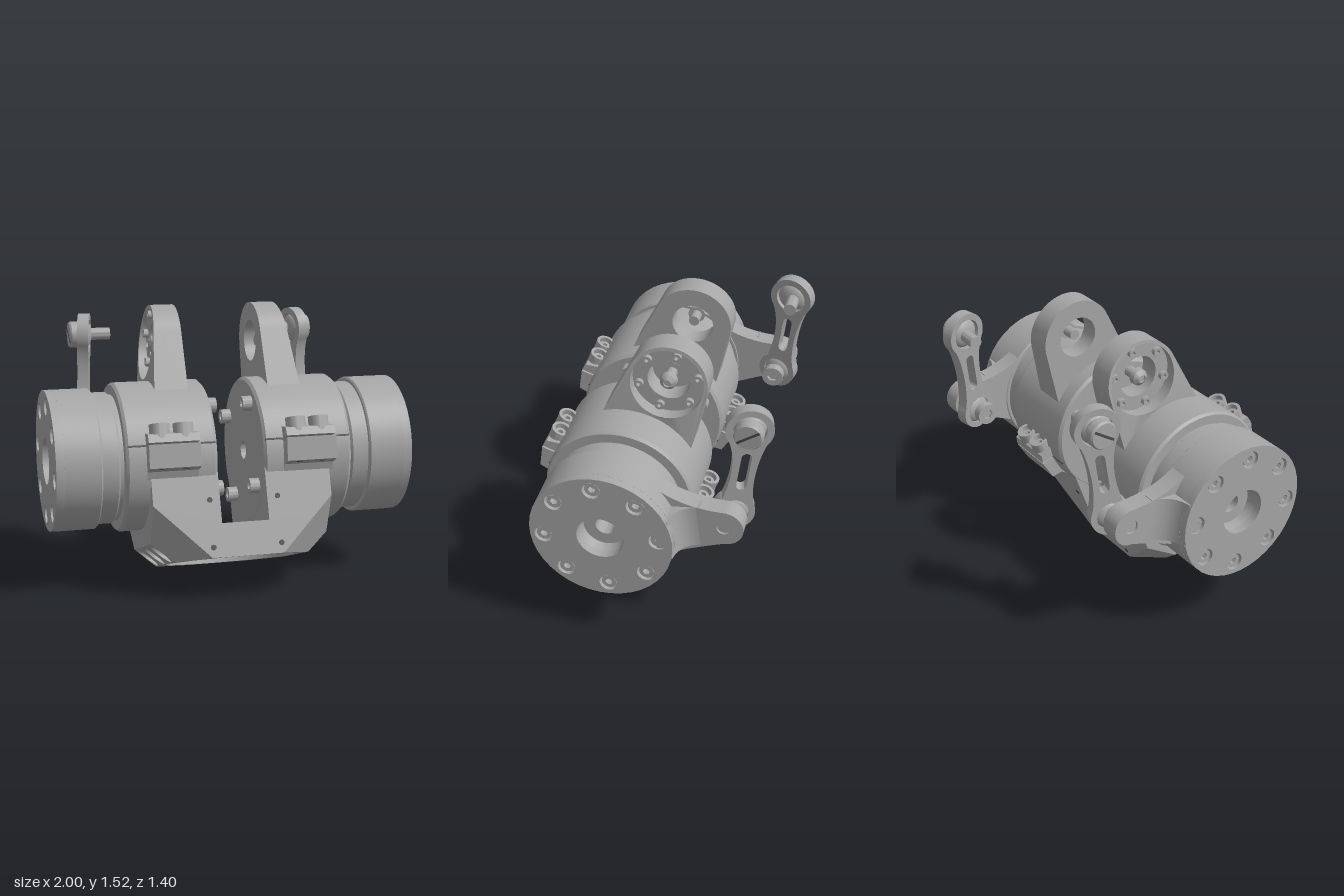
import * as THREE from 'three';
import { toCreasedNormals } from 'three/addons/utils/BufferGeometryUtils.js';
import { ConvexGeometry } from 'three/addons/geometries/ConvexGeometry.js';

const metal = new THREE.MeshStandardMaterial({ color: 0xa6a6a6 });
metal.name = 'machined grey';
const dark = new THREE.MeshStandardMaterial({ color: 0x4a4a4a });
dark.name = 'dark recess';

const TILT = -0.34, AXIS = new THREE.Vector3(0, 0.713, 0.144);

function add(parent, name, geo, mat = metal, x = 0, y = 0, z = 0) {
  const m = new THREE.Mesh(toCreasedNormals(geo, 0.55), mat);
  m.name = name;
  m.position.set(x, y, z);
  parent.add(m);
  return m;
}

// Profile of [radius, x] points turned around the x axis
const turned = (pts, seg = 64) =>
  new THREE.LatheGeometry(pts.map(p => new THREE.Vector2(p[0], p[1])), seg).rotateZ(-Math.PI / 2);
const rod = (r, x0, x1, seg = 28) => turned([[0, x0], [r, x0], [r, x1], [0, x1]], seg);
// Side-view shape (horizontal = -z, vertical = y) extruded from x0 to x1
const slab = (shape, x0, x1) => new THREE.ExtrudeGeometry(shape, { depth: x1 - x0, bevelEnabled: false, curveSegments: 20 })
  .rotateY(Math.PI / 2).translate(x0, 0, 0);
const circle = (C, x, y, r) => new C().absarc(x, y, r, 0, Math.PI * 2, false);
const hole = (shape, x, y, r) => { shape.holes.push(circle(THREE.Path, x, y, r)); return shape; };
const poly = pts => new THREE.Shape(pts.map(p => new THREE.Vector2(p[0], p[1])));

// Round head with a hexagonal socket, pointing along +x
function screwHead(r, x0, x1) {
  const s = circle(THREE.Shape, 0, 0, r);
  const hex = [];
  for (let i = 0; i < 6; i++) hex.push(new THREE.Vector2(r * 0.5 * Math.cos(i * Math.PI / 3), r * 0.5 * Math.sin(i * Math.PI / 3)));
  s.holes.push(new THREE.Path([...hex, hex[0].clone()]));
  return slab(s, x0, x1);
}

function moveX(geo, rule) {
  const p = geo.attributes.position;
  for (let i = 0; i < p.count; i++) p.setX(i, rule(p.getX(i), p.getY(i)));
  return geo;
}

// Mirrored copy of a group's meshes, with corner order reversed
function mirrored(group, name) {
  const out = new THREE.Group();
  out.name = name;
  group.updateMatrixWorld(true);
  group.traverse(o => {
    if (!o.isMesh) return;
    const g = o.geometry.clone().applyMatrix4(o.matrixWorld).applyMatrix4(new THREE.Matrix4().makeScale(-1, 1, 1));
    for (const a of Object.values(g.attributes)) {
      const n = a.itemSize, d = a.array;
      for (let t = 0; t < d.length; t += 3 * n)
        for (let k = 0; k < n; k++) [d[t + k], d[t + 2 * n + k]] = [d[t + 2 * n + k], d[t + k]];
    }
    const m = new THREE.Mesh(g, o.material);
    m.name = o.name;
    out.add(m);
  });
  return out;
}

const octagon = (ax, bx, bz, d = 0.377) =>
  [[ax, d], [bx, bz], [bx, -bz], [ax, -d], [-ax, -d], [-bx, -bz], [-bx, bz], [-ax, d]];

function buildBase(parent) {
  // Tapered block sides; the slanted pocket faces are made with each side
  const levels = [[-0.616, octagon(0.2, 0.38, 0.24)], [-0.51, octagon(0.307, 0.5, 0.23)], [-0.433, octagon(0.385, 0.5, 0.29)]];
  const v = [];
  for (let l = 0; l < 2; l++) for (let i = 0; i < 8; i++) {
    if (l === 0 && i % 4 === 1) continue;
    const [y0, a] = levels[l], [y1, b] = levels[l + 1], j = (i + 1) % 8;
    const q = [[a[i], y0], [a[j], y0], [b[j], y1], [b[i], y1]].map(([p, y]) => [p[0], y, p[1]]);
    for (const k of [0, 1, 2, 0, 2, 3]) v.push(...q[k]);
  }
  const g = new THREE.BufferGeometry();
  g.setAttribute('position', new THREE.Float32BufferAttribute(v, 3));
  g.computeVertexNormals();
  add(parent, 'baseBlock', g);
  const face = hole(poly(levels[0][1]), 0, 0, 0.365);
  add(parent, 'baseRim', new THREE.ShapeGeometry(face, 32).rotateX(Math.PI / 2), metal, 0, -0.616);
  add(parent, 'baseBore', new THREE.LatheGeometry([new THREE.Vector2(0.365, -0.46), new THREE.Vector2(0.365, -0.616)], 64));
  const floor = poly(octagon(0.345, 0.495, 0.255, 0.375));
  for (const z of [-0.325, 0.325]) hole(floor, 0, z, 0.034);
  add(parent, 'slotFloor', new THREE.ExtrudeGeometry(floor, { depth: 0.037, bevelEnabled: false }).rotateX(Math.PI / 2), metal, 0, -0.433);
}

function buildHousing(parent) {
  // Cheek of the yoke
  const pts = [];
  for (const z of [-1, 1]) for (const [x, y, d] of [[0.132, -0.433, 0.377], [0.132, -0.06, 0.377], [0.5, -0.06, 0.377],
    [0.5, -0.32, 0.377], [0.385, -0.433, 0.377], [0.5, -0.433, 0.29]]) pts.push(new THREE.Vector3(x, y, z * d));
  add(parent, 'yokeCheek', new ConvexGeometry(pts));

  // Slanted face with three round pockets
  const slope = y => 0.5 + (y + 0.51) * 0.12 / 0.106;
  const face = poly([[-0.24, -0.616], [0.24, -0.616], [0.23, -0.51], [-0.23, -0.51]]);
  for (const z of [-0.175, 0, 0.175]) {
    hole(face, z, -0.563, 0.05);
    const wall = turned([[0.05, 1], [0.05, 0.37], [0, 0.37]], 40).translate(0, -0.563, z);
    add(parent, 'sidePocket', moveX(wall, (x, y) => x > 0.9 ? slope(y) : x));
  }
  add(parent, 'pocketFace', moveX(new THREE.ShapeGeometry(face, 20).rotateY(Math.PI / 2), (x, y) => slope(y)));

  // Barrel with a bore right through
  add(parent, 'barrel', turned([[0.053, 0.13], [0.4, 0.13], [0.415, 0.145], [0.415, 0.615], [0.403, 0.63],
    [0.35, 0.63], [0.35, 0.67], [0.053, 0.67], [0.053, 0.13]], 80));
  for (const y of [-0.23, 0.23]) for (const z of [-0.23, 0.23])
    add(parent, 'innerScrew', screwHead(0.042, 0, 0.055).rotateY(Math.PI), metal, 0.13, y, z);

  // Clamp ears, bosses, bolts and split lines, front and rear
  for (const s of [-1, 1]) {
    const ear = poly([[0.36, -0.2], [0.4, -0.14], [0.465, -0.13], [0.49, -0.005], [0.36, -0.005]].map(([a, b]) => [a * s, b]));
    add(parent, 'lowerClampEar', slab(ear, 0.24, 0.52));
    const top = poly([[0.36, 0.005], [0.49, 0.005], [0.48, 0.05], [0.4, 0.07], [0.36, 0.13]].map(([a, b]) => [a * s, b]));
    add(parent, 'upperClampEar', slab(top, 0.24, 0.52));
    add(parent, 'splitLine', new THREE.BoxGeometry(0.48, 0.01, 0.03), dark, 0.38, 0, s * 0.402);
    for (const x of [0.315, 0.445]) {
      const boss = hole(circle(THREE.Shape, 0, 0, 0.055), 0, 0, 0.038);
      add(parent, 'clampBoss', slab(boss, 0, 0.1).rotateZ(Math.PI / 2), metal, x, 0.01, s * 0.43);
      add(parent, 'clampBolt', screwHead(0.032, 0, 0.03).rotateZ(Math.PI / 2), metal, x, 0.055, s * 0.43);
      add(parent, 'clampBoltHole', new THREE.CylinderGeometry(0.018, 0.018, 0.006, 16), dark, x, -0.132, s * 0.44);
    }
    for (const y of [-0.305, -0.56])
      add(parent, 'mountHole', new THREE.CylinderGeometry(0.015, 0.015, 0.004, 16).rotateX(Math.PI / 2), dark, 0.19, y, s * 0.377);
  }

  // Upright lobe: a holed plate inside, a tapering recessed rim outside
  const lobe = r => {
    const s = new THREE.Shape();
    s.moveTo(-0.265, 0.28);
    s.lineTo(0.265, 0.28);
    s.lineTo(0.219, 0.655);
    s.absarc(0, 0.633, 0.22, 0.1, Math.PI - 0.1, false);
    s.closePath();
    return hole(s, 0, 0.633, r);
  };
  add(parent, 'lobePlate', slab(lobe(0.118), 0.228, 0.34));
  add(parent, 'lobeRim', moveX(slab(lobe(0.2), 0.34, 0.4), (x, y) => x > 0.37 ? 0.36 + Math.min(0.06, (0.853 - y) * 0.128) : x));
  for (let i = 0; i < 6; i++) {
    const a = i * Math.PI / 3 + 0.47;
    add(parent, 'lobeScrew', screwHead(0.025, 0.34, 0.365), metal, 0, 0.633 + 0.167 * Math.sin(a), 0.167 * Math.cos(a));
  }
  add(parent, 'centreButton', turned([[0, 0.26], [0.03, 0.26], [0.03, 0.33], [0.048, 0.33], [0.045, 0.36], [0.022, 0.378], [0.022, 0.365], [0, 0.365]], 32), metal, 0, 0.633);
}

function buildRotor(parent) {
  add(parent, 'rotorDrum', turned([[0.053, 0.65], [0.355, 0.65], [0.365, 0.66], [0.365, 0.75], [0.382, 0.75], [0.39, 0.758],
    [0.39, 0.955], [0.13, 0.955], [0.12, 0.9], [0.053, 0.9], [0.053, 0.65]], 80));
  const cap = hole(circle(THREE.Shape, 0, 0, 0.39), 0, 0, 0.13);
  for (let i = 0; i < 8; i++) {
    const a = i * Math.PI / 4, c = 0.314 * Math.cos(a), s = 0.314 * Math.sin(a);
    hole(cap, c, s, 0.05);
    add(parent, 'rotorScrew', screwHead(0.04, 0.955, 0.99), metal, 0, s, -c);
  }
  add(parent, 'rotorCap', slab(cap, 0.95, 1));

  // Crank lug with a curved root
  const lug = new THREE.Shape();
  lug.moveTo(0.3, -0.2);
  lug.quadraticCurveTo(0.42, -0.15, 0.62, -0.105);
  lug.absarc(0.635, 0, 0.105, -Math.PI / 2, Math.PI / 2, false);
  lug.quadraticCurveTo(0.42, 0.13, 0.3, 0.24);
  lug.closePath();
  add(parent, 'crankLug', slab(hole(lug, 0.635, 0, 0.038), 0.755, 0.86));
  const root = new THREE.Shape();
  root.moveTo(0.8, 0.3);
  root.lineTo(0.99, 0.3);
  root.lineTo(0.99, 0.375);
  root.quadraticCurveTo(0.865, 0.39, 0.858, 0.52);
  root.lineTo(0.8, 0.52);
  root.closePath();
  add(parent, 'crankRoot', new THREE.ExtrudeGeometry(root, { depth: 0.25, bevelEnabled: false }).rotateX(-Math.PI / 2), metal, 0, -0.12);
  add(parent, 'crankPin', rod(0.036, 0.58, 0.85), metal, 0, 0, -0.635);
  add(parent, 'crankPinCollar', turned([[0, 0.69], [0.055, 0.69], [0.075, 0.757], [0, 0.757]], 32), metal, 0, 0, -0.635);
  add(parent, 'crankPinHead', screwHead(0.062, 0, 0.05).rotateY(Math.PI), metal, 0.61, 0, -0.635);
}

function buildLink(parent) {
  const link = new THREE.Group();
  link.name = 'linkArm';
  link.position.set(0.68, 0.785, -0.503);
  link.rotation.set(-0.135, 0.24, 0.05);
  parent.add(link);
  // Dog-bone plate with two eyes and a long slot
  const s = new THREE.Shape();
  s.absarc(0, 0, 0.112, 2.3, Math.PI * 2 + 0.5, false);
  s.bezierCurveTo(0.06, 0.16, 0.065, 0.34, 0.1, 0.455);
  s.absarc(0, 0.53, 0.125, -0.65, Math.PI + 0.65, false);
  s.bezierCurveTo(-0.045, 0.36, -0.045, 0.2, -0.075, 0.083);
  const slot = new THREE.Path();
  slot.absarc(0.01, 0.36, 0.027, 0, Math.PI, false);
  slot.absarc(0.01, 0.18, 0.027, Math.PI, Math.PI * 2, false);
  s.holes.push(slot);
  hole(s, 0, 0, 0.078);
  hole(s, 0, 0.53, 0.088);
  add(link, 'linkPlate', slab(s, -0.033, 0.033));
  for (const y of [0, 0.53])
    add(link, 'linkBall', new THREE.SphereGeometry(0.086, 28, 18).scale(0.55, 1, 1), metal, 0, y);

  // Slotted pivot bolt through the upper eye
  add(parent, 'pivotPin', rod(0.036, 0.5, 0.7), metal, 0, 1.311, -0.575);
  add(parent, 'pivotHead', turned([[0, 0.665], [0.06, 0.665], [0.078, 0.69], [0.078, 0.735], [0.07, 0.745], [0, 0.745]], 36), metal, 0, 1.311, -0.575);
  add(parent, 'pivotSlot', new THREE.BoxGeometry(0.006, 0.014, 0.14).rotateX(0.6), dark, 0.744, 1.311, -0.575);
}

export function createModel() {
  const model = new THREE.Group();
  model.name = 'twinActuatorJoint';

  const base = new THREE.Group();
  base.name = 'base';
  base.position.copy(AXIS);
  base.rotation.x = TILT;
  buildBase(base);
  model.add(base);

  const left = new THREE.Group();
  left.name = 'leftSide';
  for (const [name, tilt, build] of [['housing', TILT, buildHousing], ['rotor', 0.12, buildRotor]]) {
    const g = new THREE.Group();
    g.name = name;
    g.position.copy(AXIS);
    g.rotation.x = tilt;
    build(g);
    left.add(g);
  }
  buildLink(left);
  model.add(left, mirrored(left, 'rightSide'));
  return model;
}
